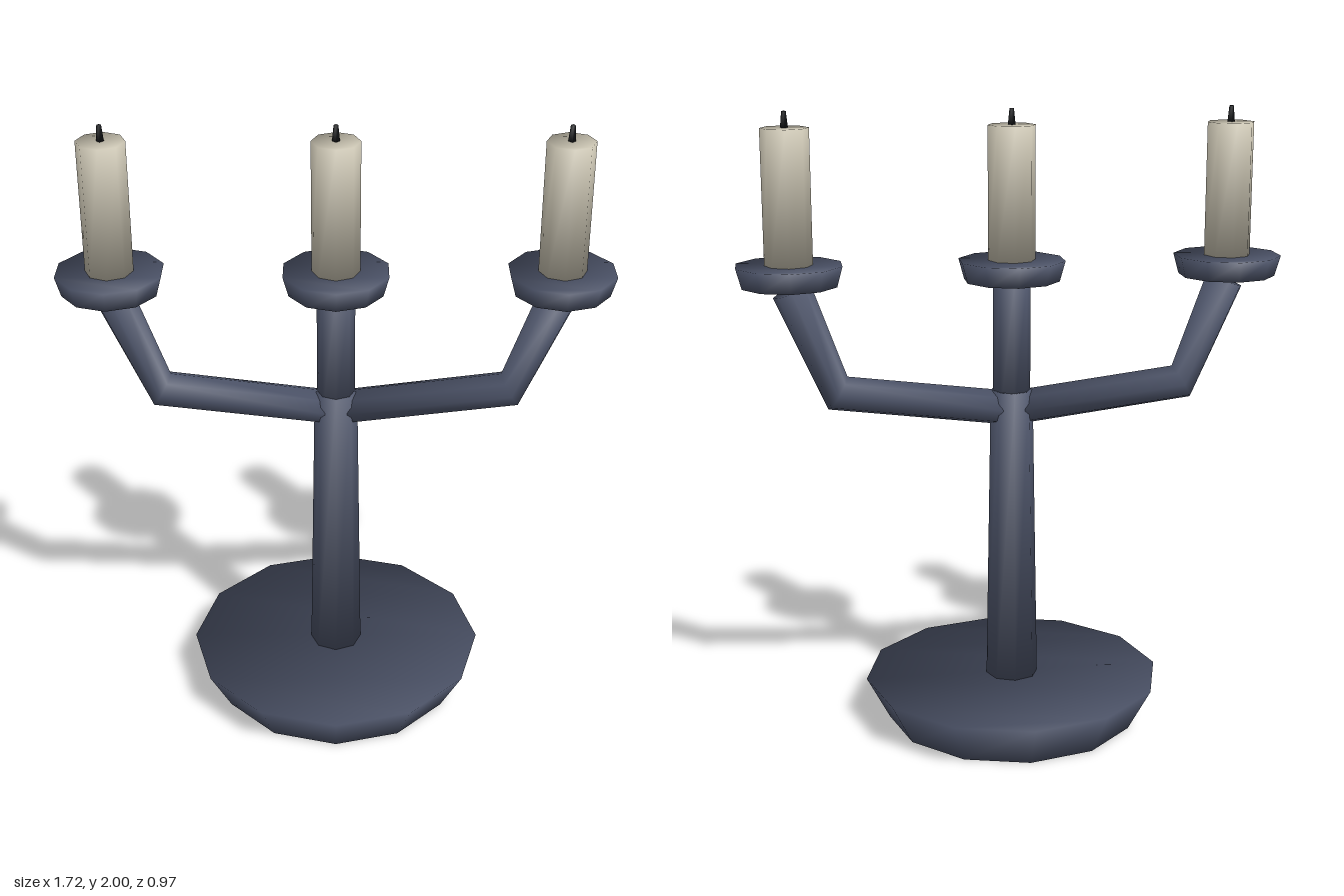
import * as THREE from 'three';

const metal = new THREE.MeshStandardMaterial({ color: 0x4c5368 });
const wax = new THREE.MeshStandardMaterial({ color: 0xc8c2b0 });
const soot = new THREE.MeshStandardMaterial({ color: 0x15171a });

// Closed, fully smooth solid through rings { x, y, r, tilt (from vertical, toward +x), lean (normal along axis) }
function loft(name, material, sides, rings) {
  const pos = [], nor = [], idx = [];
  for (const { x = 0, y, r, tilt = 0, lean = 0 } of rings) {
    const axis = new THREE.Vector3(Math.sin(tilt), Math.cos(tilt), 0);
    const u = new THREE.Vector3(Math.cos(tilt), -Math.sin(tilt), 0);
    for (let j = 0; j < sides; j++) {
      const a = (j / sides) * Math.PI * 2;
      const out = u.clone().multiplyScalar(Math.sin(a));
      out.z = Math.cos(a);
      pos.push(x + out.x * r, y + out.y * r, out.z * r);
      nor.push(...out.addScaledVector(axis, lean).normalize().toArray());
    }
  }
  for (let i = 0; i < rings.length - 1; i++) {
    for (let j = 0; j < sides; j++) {
      const a = i * sides + j, b = i * sides + (j + 1) % sides;
      idx.push(a, b, b + sides, a, b + sides, a + sides);
    }
  }
  // end caps in alternating strips
  const top = (rings.length - 1) * sides;
  let lo = 0, hi = sides - 1, step = true;
  while (hi - lo > 1) {
    const mid = step ? lo + 1 : hi - 1;
    idx.push(top + lo, top + mid, top + hi, lo, hi, mid);
    if (step) lo = mid; else hi = mid;
    step = !step;
  }
  const geo = new THREE.BufferGeometry();
  geo.setAttribute('position', new THREE.Float32BufferAttribute(pos, 3));
  geo.setAttribute('normal', new THREE.Float32BufferAttribute(nor, 3));
  geo.setIndex(idx);
  const mesh = new THREE.Mesh(geo, material);
  mesh.name = name;
  return mesh;
}

// Upright tapered prism
function taper(name, material, sides, y0, r0, y1, r1) {
  const slope = (r1 - r0) / (y1 - y0);
  return loft(name, material, sides, [
    { y: y0, r: r0, lean: -0.9 - slope },
    { y: y1, r: r1, lean: 0.9 - slope },
  ]);
}

export function createModel() {
  const model = new THREE.Group();
  model.name = 'candelabra';

  // base and stem
  model.add(
    taper('base', metal, 12, 0, 0.41, 0.14, 0.485),
    taper('lowerStem', metal, 8, 0.14, 0.085, 1.11, 0.068),
    taper('upperStem', metal, 8, 1.05, 0.06, 1.47, 0.06),
  );

  // bent arms
  for (const side of ['left', 'right']) {
    const arm = loft(side + 'Arm', metal, 8, [
      { x: 0.035, y: 1.053, r: 0.056, tilt: 1.45, lean: -0.9 },
      { x: 0.555, y: 1.118, r: 0.061, tilt: 1.03 },
      { x: 0.69, y: 1.45, r: 0.062, tilt: 0.38, lean: 0.9 },
    ]);
    if (side === 'right') arm.rotation.y = Math.PI;
    model.add(arm);
  }

  // drip pans with candles
  [['left', 0.696], ['middle', 0], ['right', -0.696]].forEach(([name, x]) => {
    const holder = new THREE.Group();
    holder.name = name + 'CandleHolder';
    holder.position.x = x;
    holder.add(
      taper('dripPan', metal, 10, 1.465, 0.153, 1.53, 0.171),
      taper('candle', wax, 8, 1.53, 0.075, 1.95, 0.075),
      taper('wick', soot, 4, 1.95, 0.012, 2, 0.007),
    );
    model.add(holder);
  });

  return model;
}
